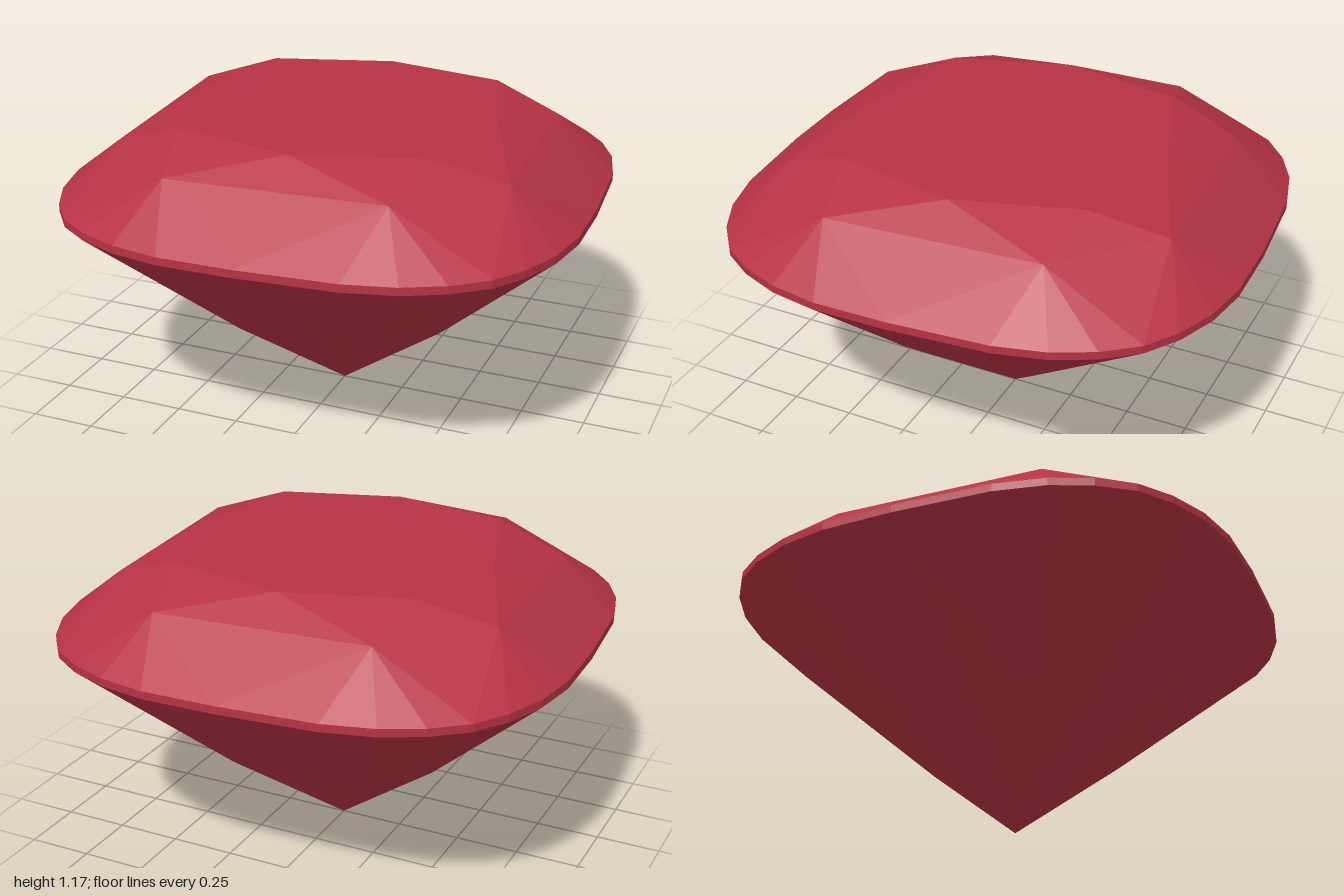
import * as THREE from 'three';

// Repeats one quarter of a ring of [x, z] points around the y axis at height y.
function ring(quarter, y) {
  const points = [];
  for (let k = 0; k < 4; k++) {
    for (const [x, z] of quarter) points.push(new THREE.Vector3(x, y, z));
    quarter = quarter.map(([x, z]) => [z, -x]);
  }
  return points;
}

// Collects convex facets and turns them into a flat-faced mesh.
function facetMesh(name, facets, material) {
  const corners = [];
  for (const f of facets) {
    for (let i = 1; i < f.length - 1; i++) corners.push(f[0], f[i], f[i + 1]);
  }
  const geometry = new THREE.BufferGeometry().setFromPoints(corners);
  geometry.computeVertexNormals();
  const mesh = new THREE.Mesh(geometry, material);
  mesh.name = name;
  return mesh;
}

export function createModel() {
  const group = new THREE.Group();
  group.name = 'cushionCutGem';
  const ruby = new THREE.MeshStandardMaterial({ color: 0xb73344 });
  ruby.name = 'ruby red';

  // Rings of facet corners, from the table down to the culet
  const outline = [
    [0, 0.995], [0.377, 0.963], [0.565, 0.914], [0.71, 0.84],
    [0.83, 0.743], [0.91, 0.62], [0.97, 0.465], [1, 0.28],
  ];
  const table = ring([[0.03, 0.595], [0.495, 0.45]], 1.175);
  const star = ring([[0.45, 0.71], [0.77, 0.37]], 1.09);
  const girdleTop = ring(outline, 0.9);
  const girdleBottom = ring(outline, 0.87);
  const lower = ring([[0.28, 0.44], [0.48, 0.23]], 0.4);
  const culet = new THREE.Vector3(0, 0.005, 0);

  const crownFacets = [];
  const girdleFacets = [];
  const pavilionFacets = [];

  for (let i = 0; i < 8; i++) {
    const next = (i + 1) % 8;
    const prev = (i + 7) % 8;
    // Star and kite facets of the crown
    crownFacets.push([table[i], star[i], table[next]]);
    crownFacets.push([star[prev], girdleTop[4 * i], star[i], table[i]]);
    // Main facets of the pavilion
    pavilionFacets.push([girdleBottom[4 * i], lower[prev], culet, lower[i]]);
    // Narrow facets that meet the girdle, and the girdle itself
    for (let s = 0; s < 4; s++) {
      const a = 4 * i + s;
      const b = (a + 1) % 32;
      crownFacets.push([girdleTop[a], girdleTop[b], star[i]]);
      girdleFacets.push([girdleBottom[a], girdleBottom[b], girdleTop[b], girdleTop[a]]);
      pavilionFacets.push([girdleBottom[b], girdleBottom[a], lower[i]]);
    }
  }

  group.add(
    facetMesh('table', [table], ruby),
    facetMesh('crown', crownFacets, ruby),
    facetMesh('girdle', girdleFacets, ruby),
    facetMesh('pavilion', pavilionFacets, ruby),
  );
  return group;
}
